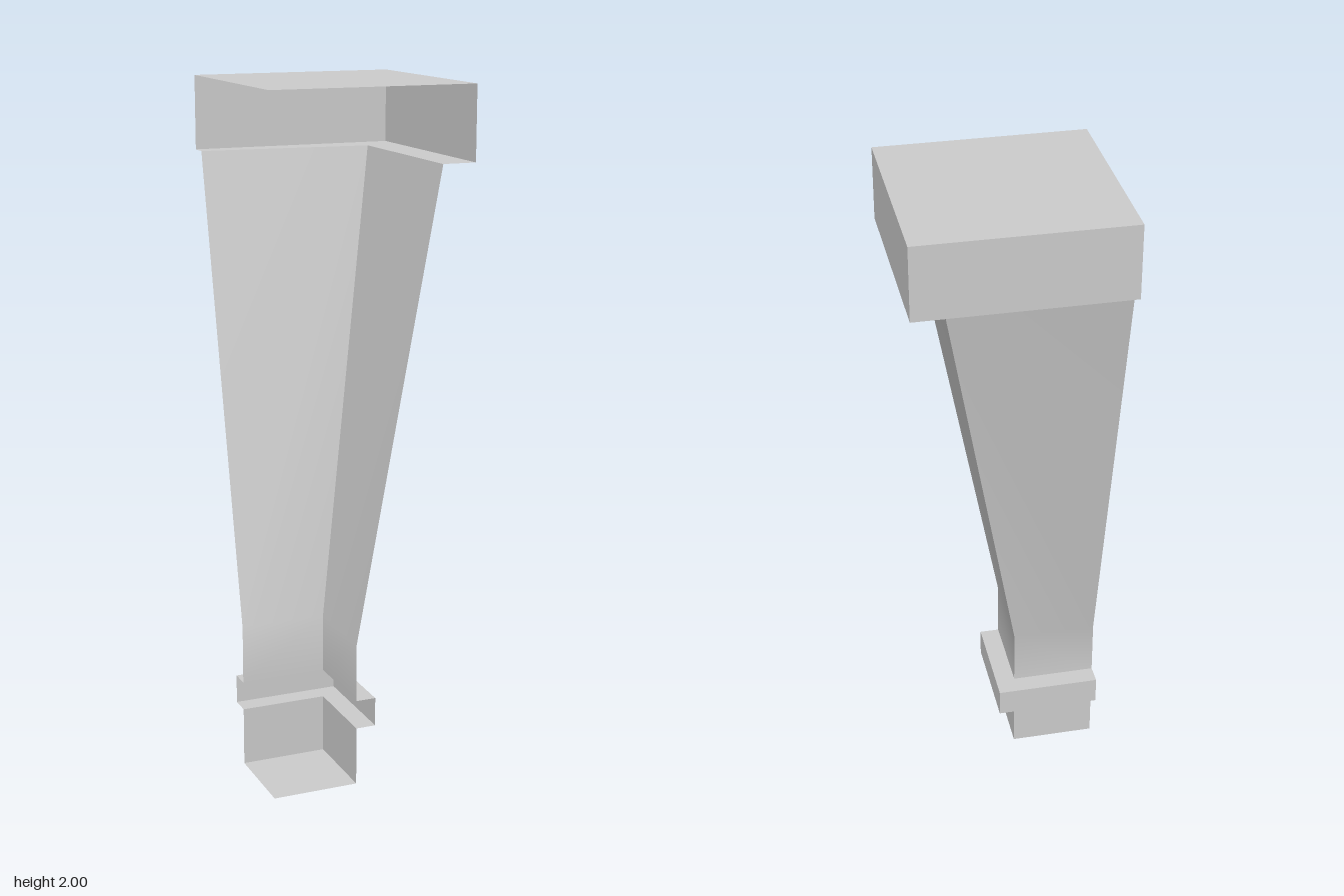
import * as THREE from 'three';

const E = 0.302; // half width of the square cap; the open sides lie at x = -E and z = +E
const material = new THREE.MeshStandardMaterial({ color: 0xcccccc, side: THREE.DoubleSide });

// One level of the L-shaped section: side wall at x, corner at (x, z), back wall ending at zEnd
const level = (y, x, z = -x, zEnd = z) => [[x, y, E], [x, y, z], [-E, y, zEnd]];

// Joins levels from top to bottom; the corner stays sharp, bends along the height are smooth
function lofted(name, levels) {
  const group = new THREE.Group();
  group.name = name;
  ['Side', 'Back'].forEach((label, wall) => {
    const positions = [], index = [];
    levels.forEach((row, i) => {
      positions.push(...row[wall], ...row[wall + 1]);
      if (i === 0) return;
      const a = 2 * (i - 1);
      index.push(a, a + 2, a + 3, a, a + 3, a + 1);
    });
    const geometry = new THREE.BufferGeometry();
    geometry.setAttribute('position', new THREE.Float32BufferAttribute(positions, 3));
    geometry.setIndex(index);
    geometry.computeVertexNormals();
    const mesh = new THREE.Mesh(geometry, material);
    mesh.name = name + label;
    group.add(mesh);
  });
  return group;
}

// Flat square from the open corner out to x = edge, z = -edge
function plate(name, y, edge, facing) {
  const size = edge + E;
  const geometry = new THREE.PlaneGeometry(size, size);
  geometry.rotateX(-facing * Math.PI / 2);
  geometry.translate((edge - E) / 2, y, (E - edge) / 2);
  const mesh = new THREE.Mesh(geometry, material);
  mesh.name = name;
  return mesh;
}

export function createModel() {
  const model = new THREE.Group();
  model.name = 'tableLegCorner';

  const capBottom = 1.787, bend = 0.43, collarTop = 0.258, collarBottom = 0.173;
  const legEdge = -0.048, collarEdge = 0.011;
  const legTop = level(capBottom, 0.203, -0.21, -0.252);

  model.add(
    // Square cap with its overhang
    plate('capTop', 2, E, 1),
    lofted('cap', [level(2, E), level(capBottom, E)]),
    lofted('capUnderside', [level(capBottom, E), legTop]),
    // Tapered leg running into a straight neck
    lofted('taperedLeg', [legTop, level(bend, legEdge), level(collarTop, legEdge)]),
    // Projecting collar
    lofted('collarUpperLedge', [level(collarTop, legEdge), level(collarTop, collarEdge)]),
    lofted('collar', [level(collarTop, collarEdge), level(collarBottom, collarEdge)]),
    lofted('collarLowerLedge', [level(collarBottom, collarEdge), level(collarBottom, legEdge)]),
    // Foot block
    lofted('foot', [level(collarBottom, legEdge), level(0, legEdge)]),
    plate('footBottom', 0, legEdge, -1)
  );
  return model;
}
